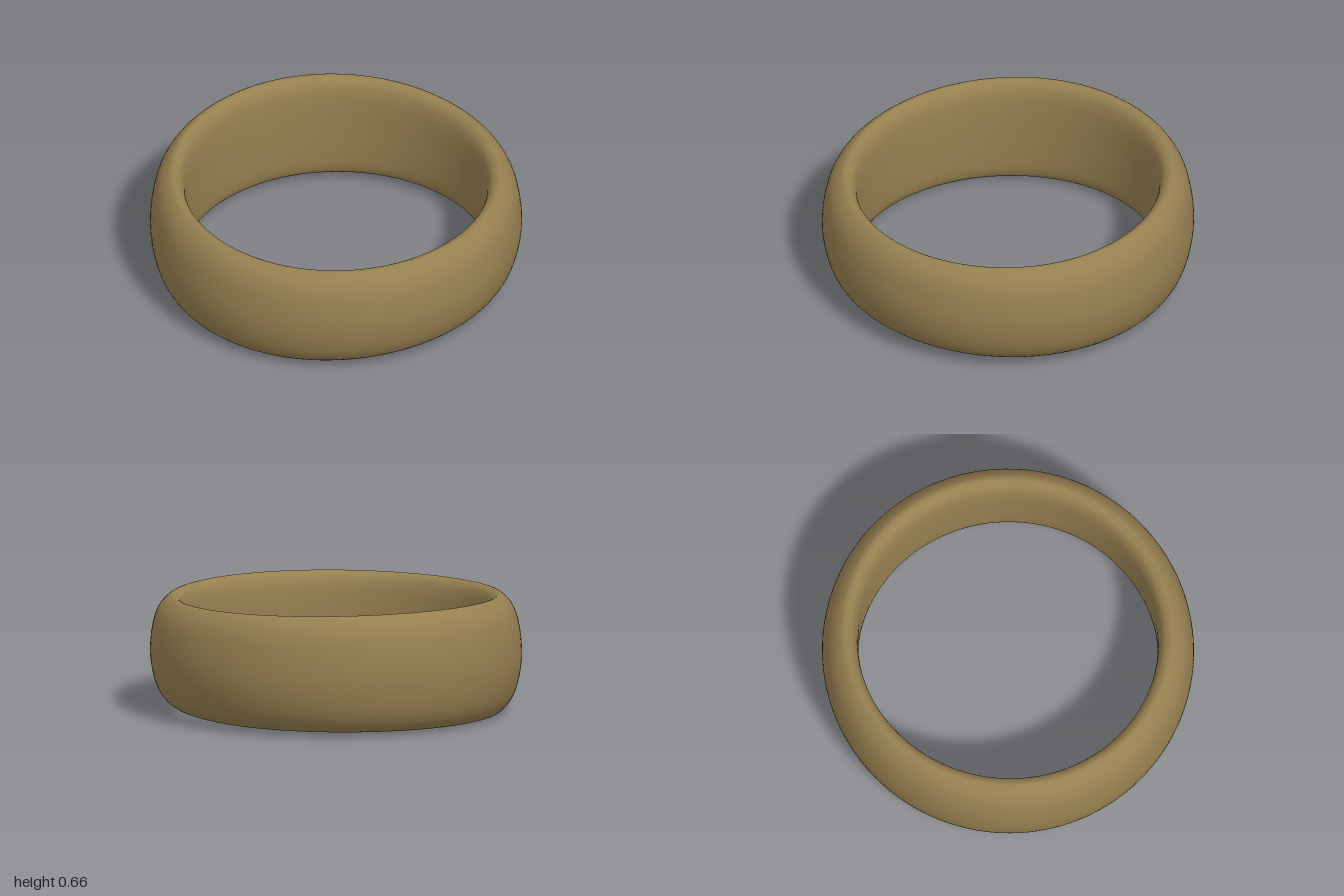
import * as THREE from 'three';
import { mergeVertices } from 'three/addons/utils/BufferGeometryUtils.js';

export function createModel() {
  const group = new THREE.Group();
  const bronze = new THREE.MeshStandardMaterial({ color: 0x968050 });
  bronze.name = 'bronze';

  // Closed band section: radius, height fraction (outer face up, inner face down)
  const section = [
    [0.875, 0], [0.92, 0.05], [0.957, 0.14], [0.985, 0.28], [1, 0.48],
    [0.988, 0.71], [0.962, 0.86], [0.925, 0.95], [0.88, 1],
    [0.845, 0.975], [0.822, 0.91], [0.809, 0.78], [0.805, 0.5],
    [0.809, 0.22], [0.82, 0.09], [0.842, 0.025],
  ].map(([r, t]) => new THREE.Vector3(r, t, 0));
  const profile = new THREE.CatmullRomCurve3(section, true, 'centripetal')
    .getPoints(64).map((p) => new THREE.Vector2(p.x, p.y));
  profile[profile.length - 1].copy(profile[0]);

  let band = new THREE.LatheGeometry(profile, 128);

  // Gently uneven upper and lower rims, as on a hand-made band
  const pos = band.attributes.position;
  for (let i = 0; i < pos.count; i++) {
    const x = pos.getX(i), z = pos.getZ(i);
    const r = Math.hypot(x, z), c = x / r, s = z / r;
    const c2 = c * c - s * s;
    const top = 0.633 - 0.0235 * c - 0.01 * s + 0.006 * c2;
    const bottom = 0.028 + 0.0145 * c - 0.016 * s + 0.008 * c2;
    pos.setY(i, THREE.MathUtils.lerp(bottom, top, pos.getY(i)));
  }

  // Weld both seams so the shading is continuous
  band.deleteAttribute('normal');
  band.deleteAttribute('uv');
  band = mergeVertices(band, 1e-4);
  band.computeVertexNormals();

  const ring = new THREE.Mesh(band, bronze);
  ring.name = 'ringBand';
  group.add(ring);
  return group;
}
